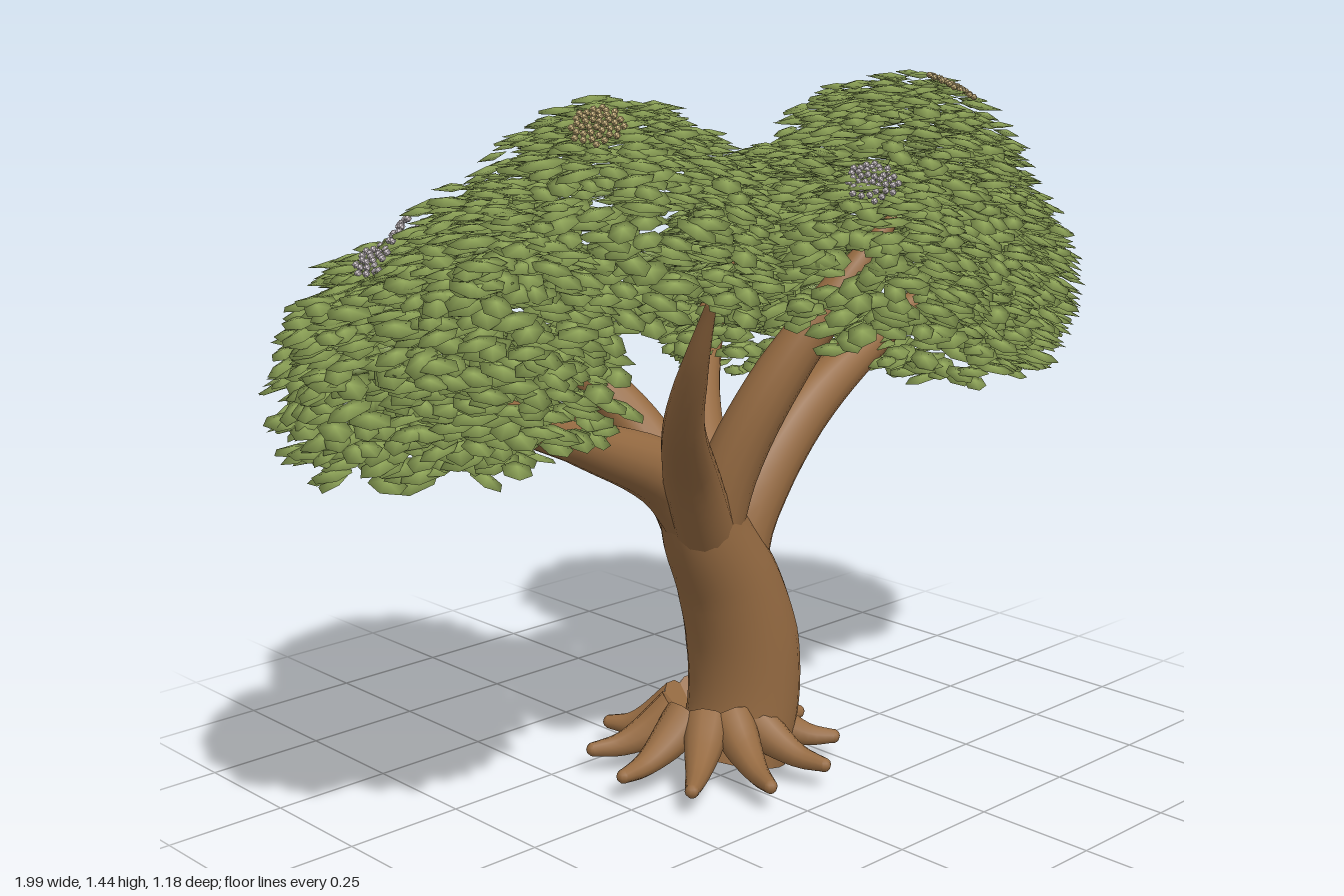
import * as THREE from 'three';
import { mergeGeometries } from 'three/addons/utils/BufferGeometryUtils.js';

const V = (p) => new THREE.Vector3(...p);
const UP = new THREE.Vector3(0, 1, 0);

// small seeded random generator
let seed = 11;
const rand = () => {
  seed = (seed * 16807) % 2147483647;
  return seed / 2147483647;
};
const spread = (s) => (rand() * 2 - 1) * s;

// tapered tube along a smooth path, with a flat foot and a rounded tip
function limb(points, radii, segments = 20, sides = 14) {
  const curve = new THREE.CatmullRomCurve3(points.map(V));
  const geo = new THREE.TubeGeometry(curve, segments, 1, sides);
  const pos = geo.attributes.position;
  const v = new THREE.Vector3();
  for (let i = 0; i <= segments; i++) {
    const t = i / segments;
    const c = curve.getPointAt(t);
    const f = t * (radii.length - 1);
    const k = Math.min(Math.floor(f), radii.length - 2);
    const r = THREE.MathUtils.lerp(radii[k], radii[k + 1], f - k);
    for (let j = 0; j <= sides; j++) {
      const n = i * (sides + 1) + j;
      v.fromBufferAttribute(pos, n).sub(c).multiplyScalar(r).add(c);
      pos.setXYZ(n, v.x, v.y, v.z);
    }
  }
  const foot = new THREE.CircleGeometry(radii[0], sides);
  const down = curve.getTangentAt(0).negate();
  foot.applyQuaternion(new THREE.Quaternion().setFromUnitVectors(new THREE.Vector3(0, 0, 1), down));
  foot.translate(...points[0]);
  const tip = new THREE.SphereGeometry(radii.at(-1), 10, 6);
  tip.translate(...points.at(-1));
  return mergeGeometries([geo, foot, tip]);
}

// leaf domes: centre, radii, lowest direction that still carries leaves
const domes = [
  { c: [0.04, 1.1, 0.34], r: [0.21, 0.21, 0.21], cut: -0.4 },
  { c: [0.35, 1.1, 0.13], r: [0.33, 0.34, 0.28], cut: -0.5 },
  { c: [-0.37, 1.08, 0.11], r: [0.32, 0.35, 0.28], cut: -0.05 },
  { c: [0.61, 1.0, 0.1], r: [0.26, 0.25, 0.22], cut: -0.8 },
  { c: [-0.62, 1.04, 0.1], r: [0.25, 0.27, 0.22], cut: -0.75 },
  { c: [0.73, 0.94, -0.02], r: [0.24, 0.22, 0.26], cut: -0.8 },
  { c: [-0.7, 0.95, -0.04], r: [0.26, 0.25, 0.23], cut: -0.6 },
  { c: [0.43, 0.95, -0.32], r: [0.26, 0.22, 0.23], cut: -0.8 },
  { c: [-0.35, 0.95, -0.32], r: [0.26, 0.23, 0.23], cut: -0.65 },
  { c: [0.0, 1.1, 0.17], r: [0.22, 0.23, 0.18], cut: -0.1 },
];
const depth = (p, d) => Math.hypot(...['x', 'y', 'z'].map((a, i) => (p[a] - d.c[i]) / d.r[i]));

// height of the canopy over a spot
const canopyTop = (x, z) => Math.max(...domes.map(({ c, r }) => {
  const q = 1 - ((x - c[0]) / r[0]) ** 2 - ((z - c[2]) / r[2]) ** 2;
  return q > 0 ? c[1] + r[1] * Math.sqrt(q) : 0.95;
}));

// flattened lens-shaped leaves, lying level and drooping slightly outward
function foliage() {
  const leaf = new THREE.SphereGeometry(1, 6, 2);
  const leaves = [];
  const m = new THREE.Matrix4();
  for (const d of domes) {
    const [a, b, c] = d.r;
    const p = 1.6;
    const mean = ((a * b) ** p + (a * c) ** p + (b * c) ** p) / 3;
    const count = Math.round(4 * Math.PI * mean ** (1 / p) * 0.5 * (1 - d.cut) * 1350);
    for (let i = 0; i < count; i++) {
      const y = d.cut + rand() ** 0.8 * (1 - d.cut);
      const a0 = rand() * Math.PI * 2;
      const h = Math.sqrt(1 - y * y);
      const out = new THREE.Vector3(h * Math.cos(a0), y, h * Math.sin(a0));
      const at = out.clone().multiply(V(d.r)).multiplyScalar(0.8 + rand() * 0.23).add(V(d.c));
      if (domes.some((o) => o !== d && depth(at, o) < 0.78)) continue;
      const normal = out.clone().setY(Math.max(y, 0)).multiplyScalar(0.42).add(UP);
      normal.add(new THREE.Vector3(spread(0.15), 0, spread(0.15))).normalize();
      const q = new THREE.Quaternion().setFromUnitVectors(UP, normal);
      q.multiply(new THREE.Quaternion().setFromAxisAngle(UP, rand() * Math.PI * 2));
      const s = 0.85 + rand() * 0.3;
      m.compose(at, q, new THREE.Vector3(0.042 * s, 0.007 * s, 0.026 * s));
      leaves.push(leaf.clone().applyMatrix4(m));
    }
  }
  return mergeGeometries(leaves);
}

// tight cluster of little round blossoms nestled in the canopy
function blossom([x, z]) {
  const buds = [];
  for (let i = 0; i < 40; i++) {
    const r = 0.048 * Math.sqrt((i + 0.5) / 40);
    const bx = x + r * Math.cos(i * 2.4);
    const bz = z + r * Math.sin(i * 2.4);
    buds.push(new THREE.IcosahedronGeometry(0.007, 0).translate(bx, canopyTop(bx, bz) + 0.012, bz));
  }
  return mergeGeometries(buds);
}

export function createModel() {
  seed = 11;
  const group = new THREE.Group();
  const material = (name, color) => {
    const mat = new THREE.MeshStandardMaterial({ color });
    mat.name = name;
    return mat;
  };
  const bark = material('bark brown', 0x966b42);
  const green = material('leaf green', 0x90a659);
  const lilac = material('pale lilac', 0xcfc6ca);
  const amber = material('amber', 0xcbb47c);
  const add = (name, geo, mat) => {
    const mesh = new THREE.Mesh(geo, mat);
    mesh.name = name;
    group.add(mesh);
  };

  // curved trunk with a tilted flat foot
  add('trunk', limb(
    [[0.065, 0.034, -0.03], [0.09, 0.14, -0.025], [0.083, 0.28, -0.02], [0.04, 0.42, -0.02], [-0.03, 0.55, -0.02], [-0.075, 0.65, -0.02]],
    [0.115, 0.118, 0.118, 0.108, 0.092, 0.062], 32, 24), bark);

  // main branches
  const branches = {
    leftOuterBranch: [[[0.04, 0.4, -0.02], [0.085, 0.55, -0.02], [0.25, 0.735, -0.02], [0.48, 0.87, -0.02], [0.7, 0.98, -0.01]],
      [0.075, 0.068, 0.055, 0.038, 0.014]],
    leftUpperBranch: [[[-0.02, 0.52, -0.01], [0.0, 0.68, 0.03], [0.06, 0.85, 0.09], [0.17, 1.02, 0.15], [0.3, 1.16, 0.18]],
      [0.06, 0.058, 0.052, 0.04, 0.014]],
    leftBackBranch: [[[0.03, 0.46, -0.03], [0.08, 0.62, -0.13], [0.18, 0.76, -0.25], [0.32, 0.89, -0.36], [0.46, 1.0, -0.44]],
      [0.07, 0.058, 0.045, 0.034, 0.012]],
    rightOuterBranch: [[[-0.03, 0.56, -0.02], [-0.14, 0.68, -0.02], [-0.32, 0.77, -0.03], [-0.52, 0.86, -0.04], [-0.7, 0.99, -0.03]],
      [0.075, 0.064, 0.045, 0.034, 0.012]],
    rightFrontBranch: [[[-0.03, 0.53, -0.01], [-0.15, 0.7, 0.07], [-0.27, 0.84, 0.18], [-0.32, 0.96, 0.26], [-0.345, 1.09, 0.33]],
      [0.065, 0.058, 0.044, 0.03, 0.01]],
    rightBackBranch: [[[-0.04, 0.54, -0.03], [-0.05, 0.7, -0.15], [-0.08, 0.81, -0.27], [-0.2, 0.91, -0.36], [-0.36, 1.0, -0.42]],
      [0.065, 0.055, 0.045, 0.034, 0.012]],
  };
  for (const [name, [points, radii]] of Object.entries(branches)) add(name, limb(points, radii), bark);

  // ring of stubby roots
  for (let i = 0; i < 10; i++) {
    const a = i / 10 * Math.PI * 2;
    const at = (r, y) => [0.025 + r * Math.cos(a), y, -0.045 + r * Math.sin(a)];
    add('root', limb([at(0.08, 0.14), at(0.14, 0.095), at(0.2, 0.067), at(0.255, 0.06)],
      [0.048, 0.04, 0.026, 0.015], 10, 10), bark);
  }

  // canopy and blossoms
  add('leaves', foliage(), green);
  for (const p of [[-0.4, -0.46], [0.82, -0.12], [-0.03, 0.42], [-0.8, 0]]) add('lilacBlossom', blossom(p), lilac);
  for (const p of [[0.5, -0.46], [0.45, 0.2], [-0.48, 0.19]]) add('amberBlossom', blossom(p), amber);
  return group;
}
